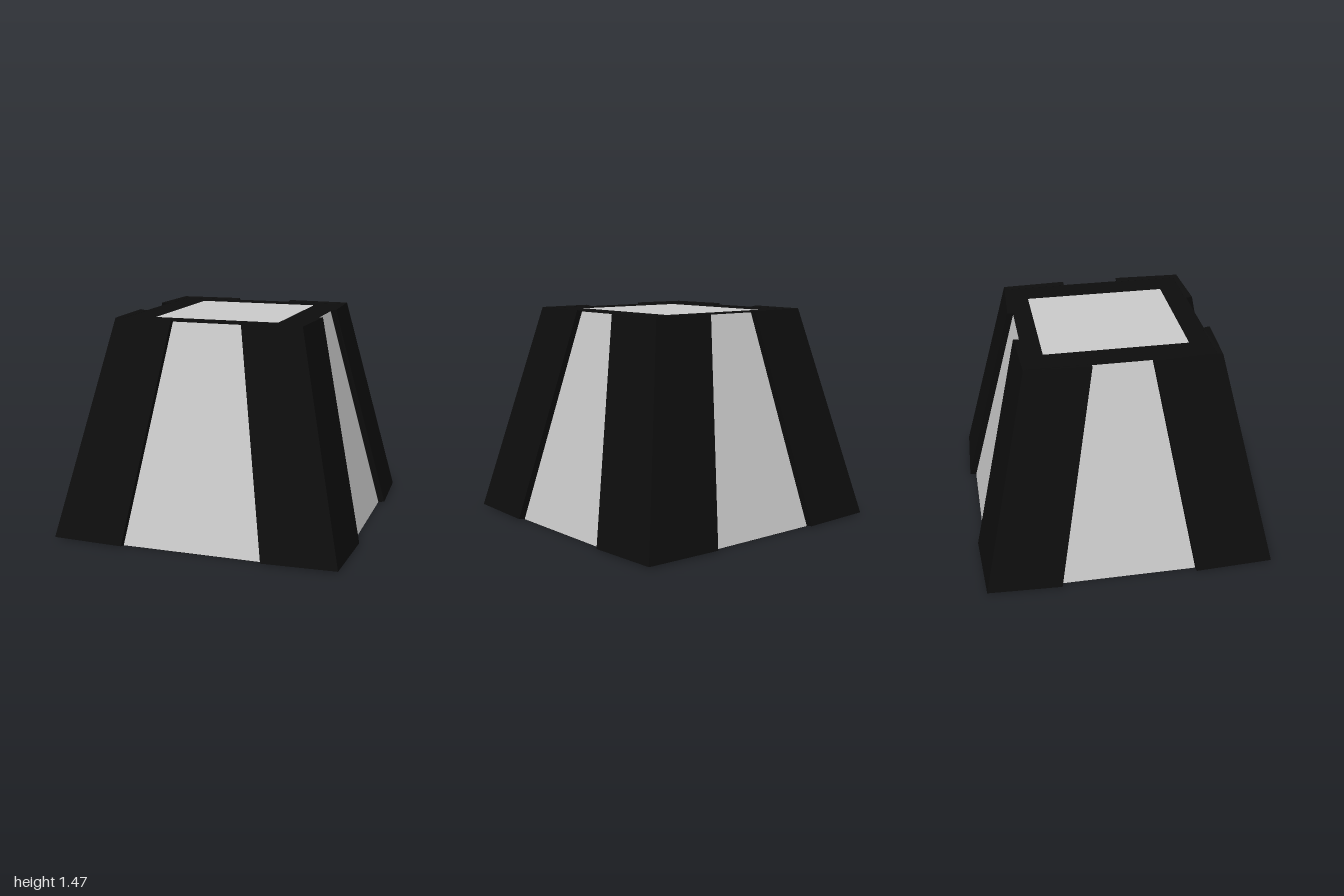
import * as THREE from 'three';

const H = 1.463;
const grey = new THREE.MeshStandardMaterial({ color: 0xcccccc, flatShading: true });
const black = new THREE.MeshStandardMaterial({ color: 0x0d0d0d, flatShading: true });

function add(parent, name, geometry, material) {
  const mesh = new THREE.Mesh(geometry, material);
  mesh.name = name;
  parent.add(mesh);
  return mesh;
}

// L-shaped corner strip, lofted between a bottom and a top loop
function cornerGeometry(sx, sz, xEnd, zEnd) {
  const loop = (level, inner, corner, outer, yIn, yOut) => [
    [xEnd[level], yOut, outer], [corner, yOut, corner], [outer, yOut, zEnd[level]],
    [inner, yIn, zEnd[level]], [inner, yIn, inner], [xEnd[level], yIn, inner],
  ].map(([x, y, z]) => [x * sx, y, z * sz]);
  const b = loop(0, 0.945, 0.977, 1.0, 0, 0.01);
  const t = loop(1, 0.61, 0.642, 0.66, H + 0.002, H + 0.009);
  const flip = sx * sz < 0;
  const pos = [];
  const quad = (p, q, r, s) => {
    const c = flip ? [s, r, q, p] : [p, q, r, s];
    for (const i of [0, 1, 2, 0, 2, 3]) pos.push(...c[i]);
  };
  for (let i = 0; i < 6; i++) {
    const j = (i + 1) % 6;
    quad(b[i], b[j], t[j], t[i]);
  }
  for (const [i, j, k, l] of [[0, 1, 4, 5], [1, 2, 3, 4]]) {
    quad(t[i], t[j], t[k], t[l]);
    quad(b[l], b[k], b[j], b[i]);
  }
  const g = new THREE.BufferGeometry();
  g.setAttribute('position', new THREE.Float32BufferAttribute(pos, 3));
  g.computeVertexNormals();
  return g;
}

// Thin square border with a rectangular opening, lying flat
function frameGeometry(half, hx, hz, dz) {
  const rect = (P, x, y, off) => {
    const p = new P();
    p.moveTo(-x, off - y);
    p.lineTo(x, off - y);
    p.lineTo(x, off + y);
    p.lineTo(-x, off + y);
    p.closePath();
    return p;
  };
  const shape = rect(THREE.Shape, half, half, 0);
  shape.holes.push(rect(THREE.Path, hx, hz, -dz));
  const g = new THREE.ExtrudeGeometry(shape, { depth: 0.004, bevelEnabled: false });
  return g.rotateX(-Math.PI / 2);
}

export function createModel() {
  const group = new THREE.Group();
  group.name = 'taperedBlock';

  // Tapered body
  const body = new THREE.CylinderGeometry(0.62 * Math.SQRT2, 0.955 * Math.SQRT2, H - 0.004, 4)
    .rotateY(Math.PI / 4).translate(0, H / 2, 0);
  add(group, 'body', body, grey);

  // Borders around the top and bottom panels
  add(group, 'topFrame', frameGeometry(0.62, 0.433, 0.482, -0.01), black).position.y = H - 0.003;
  add(group, 'bottomFrame', frameGeometry(0.953, 0.69, 0.735, 0), black);

  // Corner strips
  for (const sx of [-1, 1]) {
    const side = sx > 0 ? 'Left' : 'Right';
    add(group, 'front' + side + 'Corner', cornerGeometry(sx, 1, [0.48, 0.24], [0.445, 0.185]), black);
    add(group, 'back' + side + 'Corner', cornerGeometry(sx, -1, [0.435, 0.2], [0.477, 0.207]), black);
  }
  return group;
}
